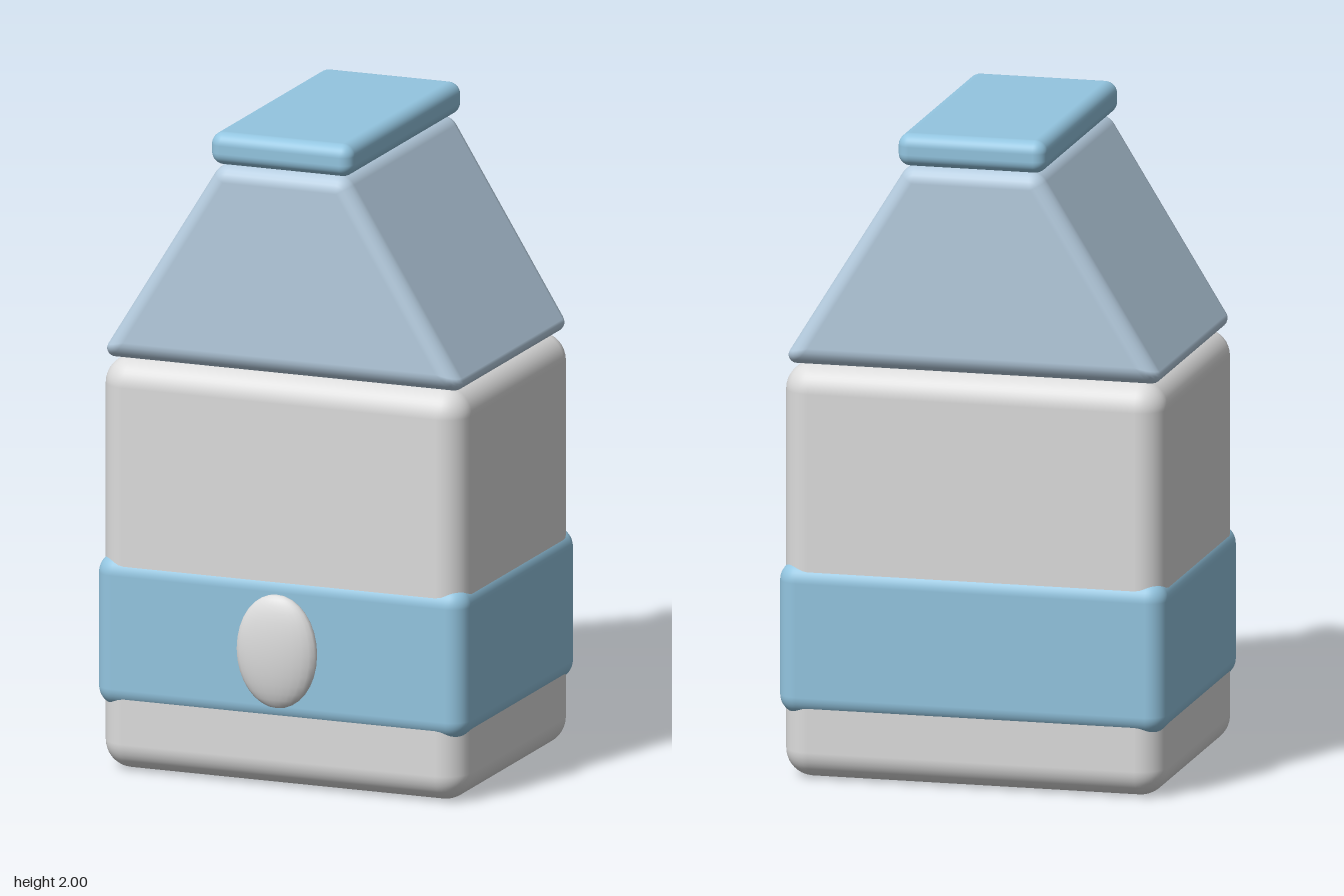
import * as THREE from 'three';
import { RoundedBoxGeometry } from 'three/addons/geometries/RoundedBoxGeometry.js';

const paper = new THREE.MeshStandardMaterial({ name: 'pale grey', color: 0xdcdcdc });
const roofBlue = new THREE.MeshStandardMaterial({ name: 'pale blue', color: 0xb6cde0 });
const trimBlue = new THREE.MeshStandardMaterial({ name: 'sky blue', color: 0x93c5e0 });

const MID_Z = -0.025; // depth centre of the carton

// Rounded box given by half width, bottom, top, back and front
function roundedBox(name, halfW, y0, y1, z0, z1, radius, material) {
  const geo = new RoundedBoxGeometry(halfW * 2, y1 - y0, z1 - z0, 5, radius);
  const mesh = new THREE.Mesh(geo, material);
  mesh.name = name;
  mesh.position.set(0, (y0 + y1) / 2, (z0 + z1) / 2);
  return mesh;
}

// Trapezoid prism with rounded edges, lofted from rings stacked along z
function roofGeometry(halfDepth, bevel) {
  const slope = Math.atan2(0.525, 0.85); // direction of the sloped side's normal
  const H = Math.PI / 2, steps = 6;
  // each corner: outer circle centre and radius, inner face corner, arc of normals
  const right = [
    { o: [0.55, 1.295], r: 0.025, i: [0.505, 1.325], a: -H, b: slope },
    { o: [0.172, 1.84], r: 0.06, i: [0.183, 1.85], a: slope, b: H },
  ];
  const mirror = (c) => ({
    o: [-c.o[0], c.o[1]], r: c.r, i: [-c.i[0], c.i[1]], a: Math.PI - c.b, b: Math.PI - c.a,
  });
  const corners = [...right, mirror(right[1]), mirror(right[0])];
  const pos = [], nor = [], idx = [];
  const ring = corners.length * (steps + 1);

  const thetas = [];
  for (let k = 0; k <= steps; k++) thetas.push([-H + (H * k) / steps, -1]);
  for (let k = 0; k <= steps; k++) thetas.push([(H * k) / steps, 1]);

  for (const [t, side] of thetas) {
    const c = Math.cos(t), s = Math.sin(t);
    for (const k of corners) {
      for (let j = 0; j <= steps; j++) {
        const phi = k.a + ((k.b - k.a) * j) / steps;
        const nx = Math.cos(phi), ny = Math.sin(phi);
        pos.push(
          k.i[0] + c * (k.o[0] + k.r * nx - k.i[0]),
          k.i[1] + c * (k.o[1] + k.r * ny - k.i[1]),
          side * (halfDepth - bevel) + s * bevel
        );
        nor.push(nx * c, ny * c, s);
      }
    }
  }
  for (let q = 0; q < thetas.length - 1; q++) {
    for (let j = 0; j < ring; j++) {
      const a = q * ring + j, b = q * ring + ((j + 1) % ring);
      idx.push(a, b, b + ring, a, b + ring, a + ring);
    }
  }
  // flat back and front faces
  const last = (thetas.length - 1) * ring;
  for (let j = 1; j < ring - 1; j++) {
    idx.push(0, j + 1, j, last, last + j, last + j + 1);
  }
  const geo = new THREE.BufferGeometry();
  geo.setAttribute('position', new THREE.Float32BufferAttribute(pos, 3));
  geo.setAttribute('normal', new THREE.Float32BufferAttribute(nor, 3));
  geo.setIndex(idx);
  return geo;
}

export function createModel() {
  const model = new THREE.Group();
  model.name = 'carton';

  // Carton body, wrap-around band and top seal
  model.add(roundedBox('body', 0.59, 0, 1.27, -0.467, 0.417, 0.085, paper));
  model.add(roundedBox('band', 0.6, 0.195, 0.665, -0.478, 0.425, 0.06, trimBlue));
  model.add(roundedBox('topSeal', 0.23, 1.9, 2, -0.472, 0.417, 0.038, trimBlue));

  // Gabled roof
  const roof = new THREE.Mesh(roofGeometry(0.442, 0.05), roofBlue);
  roof.name = 'roof';
  roof.position.z = MID_Z;
  model.add(roof);

  // Oval badge on the front of the band
  const badge = new THREE.Mesh(new THREE.SphereGeometry(1, 24, 16), paper);
  badge.name = 'badge';
  badge.scale.set(0.13, 0.175, 0.045);
  badge.position.set(0, 0.427, 0.435);
  model.add(badge);

  return model;
}
